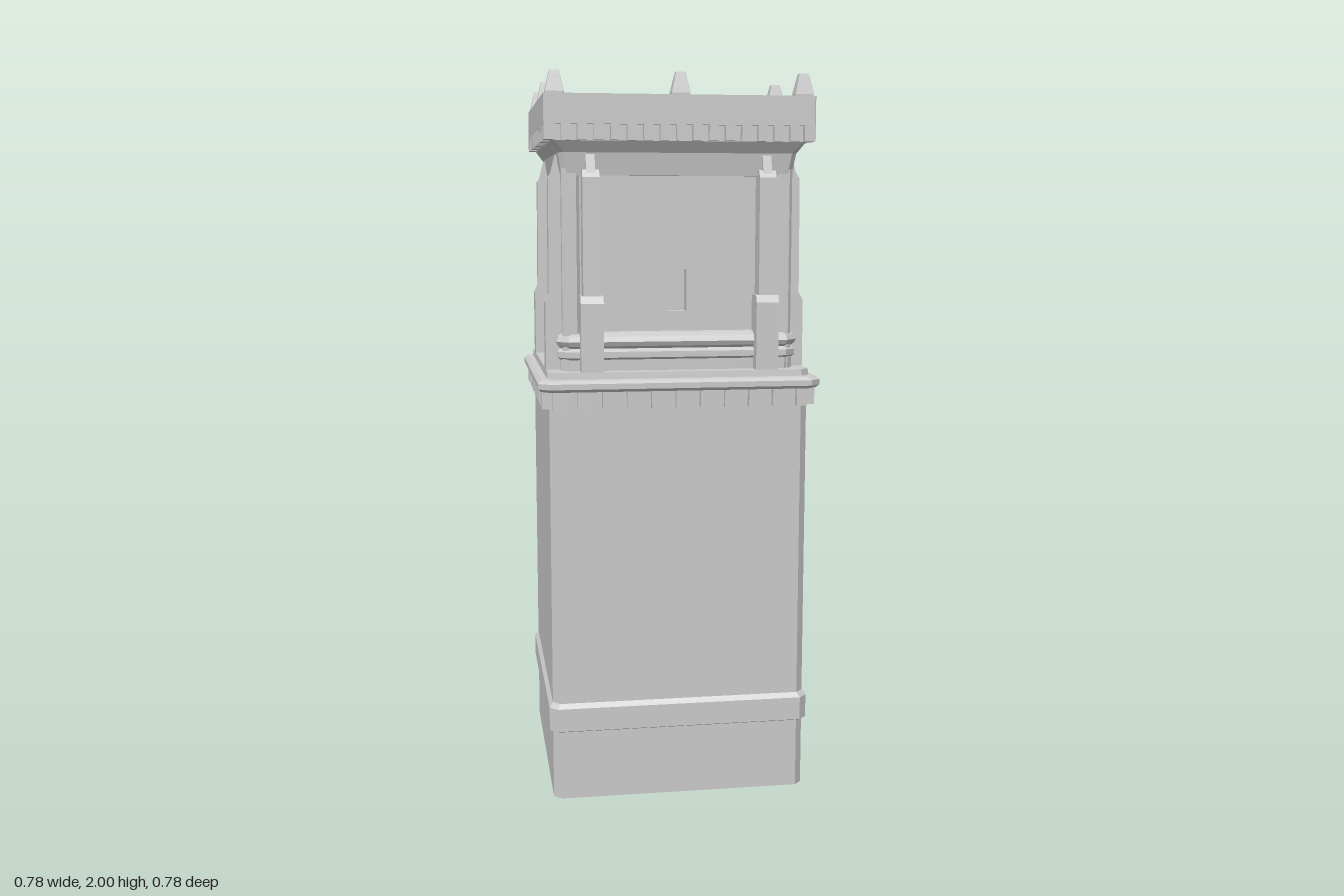
import * as THREE from 'three';

const mat = new THREE.MeshStandardMaterial({ color: 0xcccccc, flatShading: true, side: THREE.DoubleSide });

// Stack of chamfered square rings: rows of [y, half width, corner chamfer]
function loft(rows, capTop = false) {
  const pos = [], idx = [];
  for (const [y, h, c] of rows) {
    const k = h - c;
    for (const [x, z] of [[h, k], [h, -k], [k, -h], [-k, -h], [-h, -k], [-h, k], [-k, h], [k, h]]) pos.push(x, y, z);
  }
  for (let r = 0; r < rows.length - 1; r++) {
    for (let i = 0; i < 8; i++) {
      const a = r * 8 + i, b = r * 8 + (i + 1) % 8;
      idx.push(a, b, b + 8, a, b + 8, a + 8);
    }
  }
  const t = (rows.length - 1) * 8;
  if (capTop) for (let i = 1; i < 7; i++) idx.push(t, t + i, t + i + 1);
  const g = new THREE.BufferGeometry();
  g.setAttribute('position', new THREE.Float32BufferAttribute(pos, 3));
  g.setIndex(idx);
  const flat = g.toNonIndexed();
  flat.computeVertexNormals();
  return flat;
}

function add(parent, name, geometry, x = 0, y = 0, z = 0) {
  const m = new THREE.Mesh(geometry, mat);
  m.name = name;
  m.position.set(x, y, z);
  parent.add(m);
  return m;
}

// Side profile of [z, y] points extruded to a width along x
function sideProfile(points, width) {
  const s = new THREE.Shape(points.map(p => new THREE.Vector2(...p)));
  return new THREE.ExtrudeGeometry(s, { depth: width, bevelEnabled: false })
    .translate(0, 0, -width / 2).rotateY(-Math.PI / 2);
}

function rect(type, x0, y0, x1, y1) {
  return new type([[x0, y0], [x1, y0], [x1, y1], [x0, y1]].map(p => new THREE.Vector2(...p)));
}

function plate(outer, hole, depth) {
  const s = rect(THREE.Shape, ...outer);
  s.holes.push(rect(THREE.Path, ...hole));
  return new THREE.ExtrudeGeometry(s, { depth, bevelEnabled: false });
}

// One face of the tower, built towards +z
function createFace() {
  const face = new THREE.Group();
  face.name = 'towerFace';

  // wall with a recessed window
  const hole = [-0.025, 1.365, 0.025, 1.48];
  add(face, 'wall', plate([-0.28, 1.2, 0.28, 1.75], hole, 0.04), 0, 0, 0.255);
  add(face, 'windowBack', new THREE.BoxGeometry(0.07, 0.14, 0.01), 0, 1.4225, 0.255);
  add(face, 'windowFrame', plate([-0.037, 1.353, 0.037, 1.492], hole, 0.012), 0, 0, 0.29);

  // stepped buttresses
  for (const x of [-0.24, 0.24]) {
    add(face, 'buttressBase', sideProfile(
      [[0.27, 1.2], [0.36, 1.2], [0.36, 1.39], [0.35, 1.41], [0.27, 1.41]], 0.062), x);
    add(face, 'buttressShaft', sideProfile(
      [[0.27, 1.4], [0.35, 1.4], [0.348, 1.725], [0.335, 1.745], [0.27, 1.745]], 0.046), x);
    add(face, 'buttressTip', sideProfile(
      [[0.27, 1.72], [0.345, 1.72], [0.328, 1.785], [0.27, 1.785]], 0.024), x);
  }

  // small blocks under the ledge and the cornice
  for (let i = -5; i <= 5; i++) {
    add(face, 'ledgeDentil', new THREE.BoxGeometry(0.028, 0.05, 0.03), i * 0.067, 1.132, 0.362);
  }
  for (let i = -8; i <= 8; i++) {
    add(face, 'corniceDentil', new THREE.BoxGeometry(0.025, 0.042, 0.03), i * 0.044, 1.842, 0.35);
  }
  return face;
}

export function createModel() {
  const tower = new THREE.Group();
  tower.name = 'tower';

  // hollow lower shaft, open underneath
  add(tower, 'shaft', loft([[0, 0.357, 0.02], [1.16, 0.357, 0.02]]));
  add(tower, 'baseBand', loft([[0.195, 0.357, 0.02], [0.2, 0.367, 0.022], [0.265, 0.367, 0.022], [0.278, 0.357, 0.02]]));

  // ledge between shaft and belfry
  add(tower, 'ledge', loft([[1.153, 0.357, 0.02], [1.155, 0.38, 0.027], [1.163, 0.388, 0.028],
    [1.178, 0.388, 0.028], [1.186, 0.378, 0.026], [1.188, 0.362, 0.024], [1.206, 0.36, 0.024]], true));

  // rounded mouldings around the foot of the walls
  add(tower, 'footMoulding', loft([[1.2, 0.322, 0.025], [1.236, 0.322, 0.025], [1.242, 0.33, 0.03],
    [1.258, 0.33, 0.03], [1.266, 0.318, 0.025], [1.273, 0.328, 0.03], [1.285, 0.334, 0.032],
    [1.299, 0.328, 0.03], [1.308, 0.312, 0.025], [1.312, 0.29, 0.02]]));

  // corner piers
  for (const x of [-1, 1]) {
    for (const z of [-1, 1]) {
      add(tower, 'cornerPier', loft([[1.2, 0.024, 0.009], [1.75, 0.024, 0.009]]), x * 0.292, 0, z * 0.292);
    }
  }

  // four matching faces
  for (let i = 0; i < 4; i++) {
    const face = createFace();
    face.rotation.y = i * Math.PI / 2;
    tower.add(face);
  }

  // flared head, cornice and shallow roof basin
  add(tower, 'head', loft([[1.73, 0.27, 0.01], [1.73, 0.315, 0.015], [1.79, 0.325, 0.015],
    [1.82, 0.345, 0.01], [1.865, 0.345, 0.01]]));
  add(tower, 'cornice', loft([[1.862, 0.34, 0.002], [1.862, 0.365, 0.002], [1.94, 0.365, 0.002],
    [1.938, 0.345, 0.002], [1.926, 0.29, 0.002]], true));

  // pinnacles at corners and mid edges
  for (const x of [-1, 0, 1]) {
    for (const z of [-1, 0, 1]) {
      if (x === 0 && z === 0) continue;
      add(tower, 'pinnacle', loft([[1.92, 0.025, 0.001], [1.945, 0.025, 0.001], [1.988, 0.015, 0.001],
        [2, 0.012, 0.001]], true), x * 0.335, 0, z * 0.335);
    }
  }
  return tower;
}
